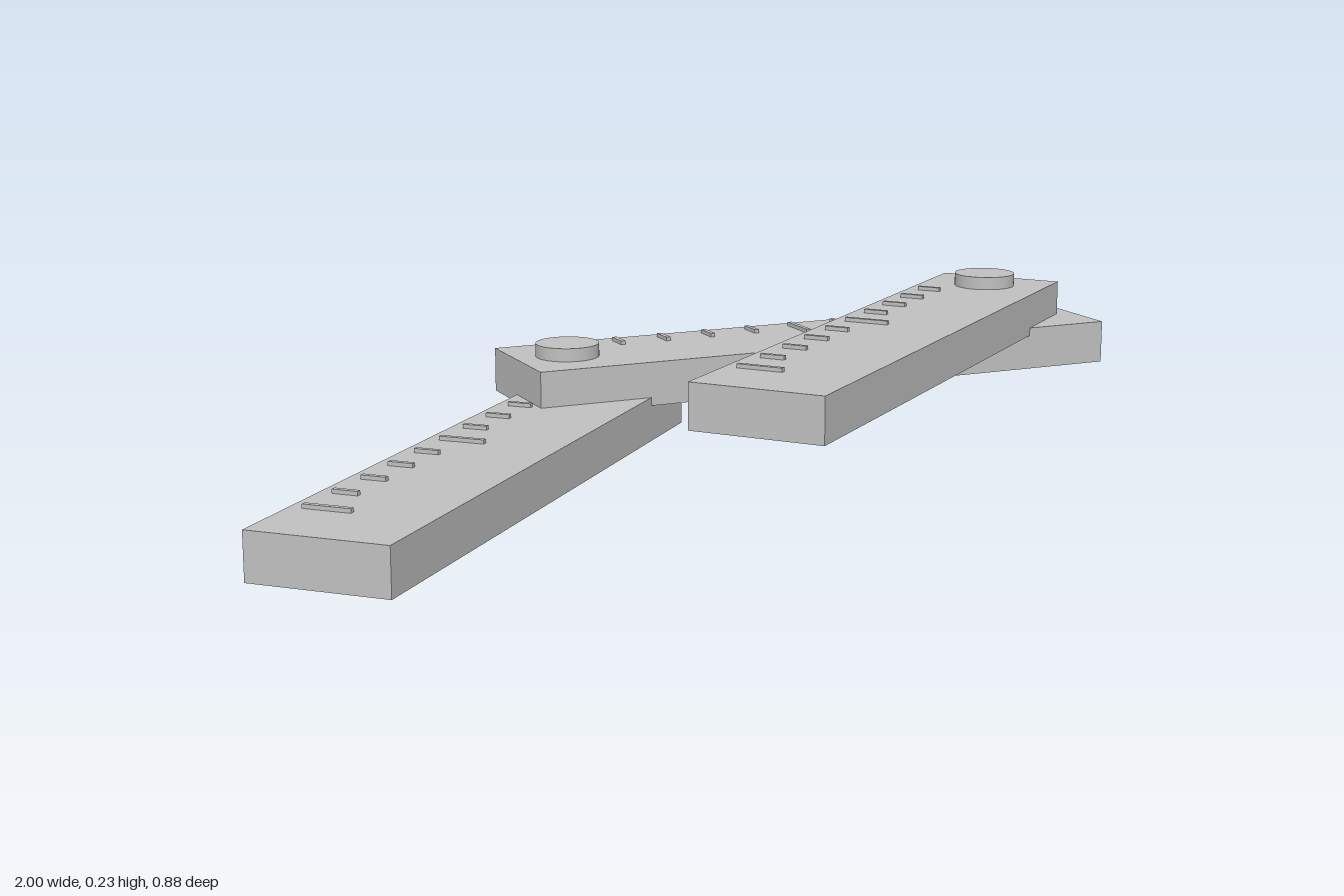
import * as THREE from 'three';

const LENGTH = 1.174, WIDTH = 0.238, HEIGHT = 0.08;

// One ruler arm: a flat bar with ten raised graduation ticks and an optional rivet
function makeArm(name, material, { x, y, z, angle, rivetAt }) {
  const arm = new THREE.Group();
  arm.name = name;

  const add = (partName, geometry, px, py, pz) => {
    const mesh = new THREE.Mesh(geometry, material);
    mesh.name = partName;
    mesh.position.set(px, py, pz);
    arm.add(mesh);
  };

  add('bar', new THREE.BoxGeometry(LENGTH, HEIGHT, WIDTH), 0, HEIGHT / 2, 0);

  // Every fifth tick is longer; all start at the same distance from the back edge
  for (let i = 0; i < 10; i++) {
    const size = i % 5 === 0 ? 0.082 : 0.044;
    add('tick', new THREE.BoxGeometry(0.009, 0.008, size),
      -0.45 + i * 0.092, HEIGHT + 0.003, -0.096 + size / 2);
  }

  // Rivet head, sunk slightly into the bar
  if (rivetAt !== undefined) {
    add('rivet', new THREE.CylinderGeometry(0.058, 0.058, 0.034, 48), rivetAt, HEIGHT + 0.007, 0);
  }

  arm.position.set(x, y, z);
  arm.rotation.y = THREE.MathUtils.degToRad(angle);
  return arm;
}

export function createModel() {
  const model = new THREE.Group();
  model.name = 'foldingRuler';
  const grey = new THREE.MeshStandardMaterial({ color: 0xc0c0c0 });
  grey.name = 'light grey';

  // Three arms stacked and fanned out in a zigzag
  model.add(
    makeArm('lowerArm', grey, { x: -0.4025, y: 0, z: -0.125, angle: 15.8 }),
    makeArm('middleArm', grey, { x: 0.43, y: 0.065, z: -0.045, angle: -29.8, rivetAt: -0.49 }),
    makeArm('upperArm', grey, { x: 0.304, y: 0.13, z: 0.22, angle: 9.6, rivetAt: 0.487 }),
  );
  return model;
}
